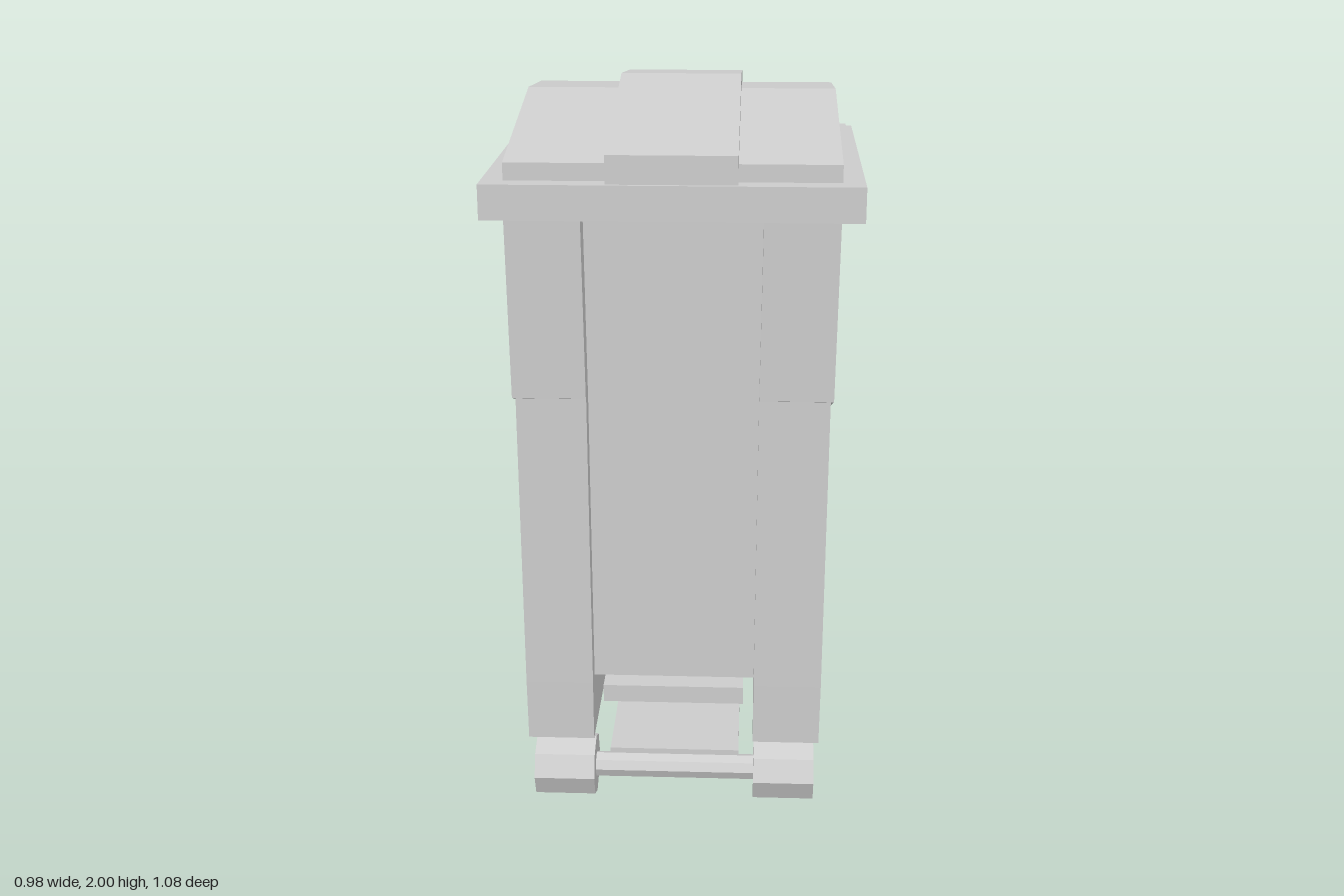
import * as THREE from 'three';

const material = new THREE.MeshStandardMaterial({ color: 0xcccccc, flatShading: true, side: THREE.DoubleSide });

export function createModel() {
  const model = new THREE.Group();

  const add = (name, geometry, x = 0, y = 0, z = 0) => {
    const mesh = new THREE.Mesh(geometry, material);
    mesh.name = name;
    mesh.position.set(x, y, z);
    model.add(mesh);
    return mesh;
  };

  // Box given by its limits on each axis
  const block = (name, [x0, x1], [y0, y1], [z0, z1]) =>
    add(name, new THREE.BoxGeometry(x1 - x0, y1 - y0, z1 - z0), (x0 + x1) / 2, (y0 + y1) / 2, (z0 + z1) / 2);

  // Rod along x
  const rod = (name, radius, length, x, y, z) =>
    add(name, new THREE.CylinderGeometry(radius, radius, length, 8).rotateZ(Math.PI / 2), x, y, z);

  // Closed solid between two rings of [x, y, z], counter-clockwise from above
  const loft = (name, bottom, top) => {
    const n = bottom.length, pos = [];
    const tri = (...pts) => pts.forEach((p) => pos.push(...p));
    for (let i = 0; i < n; i++) {
      const j = (i + 1) % n;
      tri(bottom[i], bottom[j], top[j]);
      tri(bottom[i], top[j], top[i]);
    }
    const outline = bottom.map(([x, , z]) => new THREE.Vector2(x, -z));
    for (const [a, b, c] of THREE.ShapeUtils.triangulateShape(outline, [])) {
      tri(top[a], top[b], top[c]);
      tri(bottom[a], bottom[c], bottom[b]);
    }
    const geometry = new THREE.BufferGeometry();
    geometry.setAttribute('position', new THREE.Float32BufferAttribute(pos, 3));
    geometry.computeVertexNormals();
    return add(name, geometry);
  };

  // Four-sided ring, wider at the back
  const quad = (x0f, x1f, x0b, x1b, zf, zb, y) => [[x0f, y, zf], [x1f, y, zf], [x1b, y, zb], [x0b, y, zb]];

  // Body ring with the front recess; y may follow z for the slanted seam
  const bodyRing = (front, back, inner, zf, zp, zb, yAt) => [
    [-front, zf], [-inner, zf], [-inner, zp], [inner, zp],
    [inner, zf], [front, zf], [back, zb], [-back, zb],
  ].map(([x, z]) => [x, yAt(z), z]);
  const seam = (z) => 1.23 + (z - 0.485) * 0.38;

  // Body in two shells, the upper one overlapping slightly at the seam
  loft('lowerBody',
    bodyRing(0.407, 0.418, 0.222, 0.474, 0.425, -0.345, () => 0.4),
    bodyRing(0.41, 0.415, 0.225, 0.481, 0.43, -0.352, seam));
  loft('upperBody',
    bodyRing(0.418, 0.422, 0.225, 0.49, 0.43, -0.362, seam),
    bodyRing(0.423, 0.425, 0.23, 0.502, 0.435, -0.372, () => 1.71));

  // Side skirts under the body
  for (const s of [-1, 1]) {
    const ring = (front, back, zf, zb, y) => (s > 0
      ? quad(0.222, front, 0.222, back, zf, zb, y)
      : quad(-front, -0.222, -back, -0.222, zf, zb, y));
    loft('sideSkirt', ring(0.405, 0.42, 0.472, -0.308, 0.225), ring(0.407, 0.418, 0.474, -0.312, 0.4));
  }

  // Plate below the body
  block('bottomPlate', [-0.197, 0.193], [0.32, 0.37], [-0.33, 0.43]);

  // Lid rim
  const rim = (y) => quad(-0.48, 0.48, -0.492, 0.492, 0.537, -0.435, y);
  loft('lidRim', rim(1.71), rim(1.8));

  // Lid humps, side profiles [z, y] extruded across x
  const hump = (name, profile, x0, x1) => {
    const shape = new THREE.Shape(profile.map(([z, y]) => new THREE.Vector2(-z, y)));
    const geometry = new THREE.ExtrudeGeometry(shape, { depth: x1 - x0, bevelEnabled: false });
    add(name, geometry.rotateY(Math.PI / 2), x0);
  };
  const sideProfile = [[0.48, 1.79], [0.48, 1.845], [-0.055, 1.96], [-0.342, 1.94], [-0.365, 1.79]];
  hump('lidCentre', [[0.525, 1.79], [0.525, 1.873], [-0.05, 2], [-0.372, 1.97], [-0.405, 1.79]], -0.165, 0.165);
  hump('lidSide', sideProfile, -0.424, -0.165);
  hump('lidSide', sideProfile, 0.165, 0.424);

  // Rear handle
  for (const s of [-1, 1]) {
    block('handleBracket', [s * 0.462 - 0.018, s * 0.462 + 0.018], [1.72, 1.79], [-0.54, -0.43]);
  }
  rod('handleBar', 0.032, 0.9, 0, 1.755, -0.505);

  // Wheels, axles and chassis
  for (const z of [0.375, -0.255]) {
    rod('axle', 0.036, 0.46, 0, 0.088, z);
    for (const s of [-1, 1]) rod('wheel', 0.088, 0.17, s * 0.31, 0.088, z);
  }
  block('chassis', [-0.185, 0.182], [0.1, 0.14], [-0.255, 0.375]);

  return model;
}
